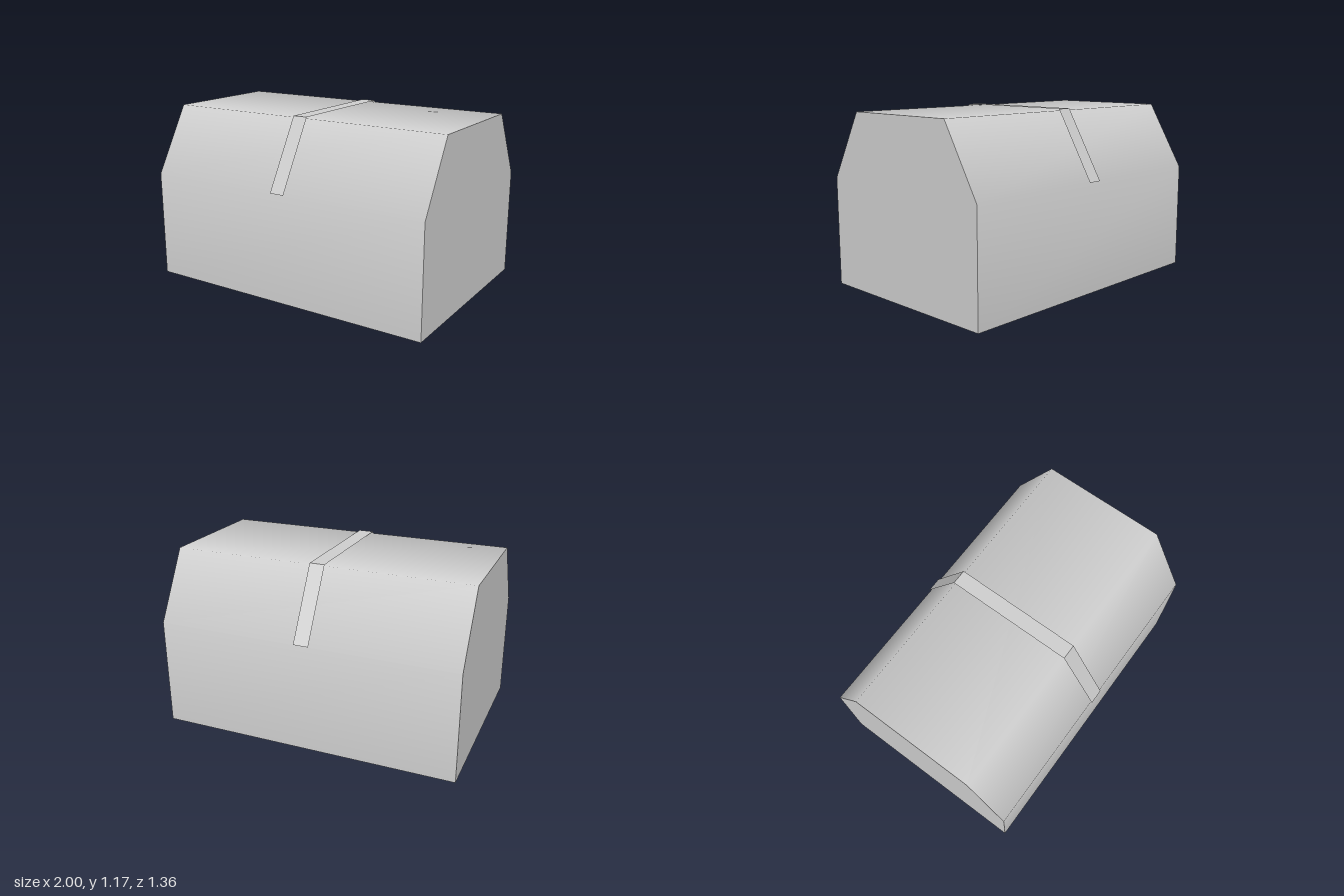
import * as THREE from 'three';

// Cross-section as [z, y], from the front foot over the roof to the back foot
const PROFILE = [[0.67, 0], [0.67, 0.717], [0.415, 1.157], [-0.415, 1.157], [-0.67, 0.717], [-0.67, 0]];
// Folded band lying just above the roof
const BAND = [[0.679, 0.722], [0.421, 1.167], [-0.421, 1.167], [-0.679, 0.722]];

// Sweep a [z, y] path along x; smooth blends the normals across the folds
function sweep(path, halfWidth, smooth) {
  const faceNormals = path.slice(1).map(([z, y], i) =>
    new THREE.Vector3(0, path[i][0] - z, y - path[i][1]).normalize());
  const positions = [], normals = [], index = [];
  faceNormals.forEach((face, i) => {
    for (const k of [i, i + 1]) {
      const n = face.clone();
      if (smooth) {
        n.set(0, 0, 0);
        for (const f of [faceNormals[k - 1], faceNormals[k]]) if (f) n.add(f);
        n.normalize();
      }
      for (const x of [-halfWidth, halfWidth]) {
        positions.push(x, path[k][1], path[k][0]);
        normals.push(n.x, n.y, n.z);
      }
    }
    const o = i * 4;
    index.push(o, o + 1, o + 3, o, o + 3, o + 2);
  });
  const geometry = new THREE.BufferGeometry();
  geometry.setAttribute('position', new THREE.Float32BufferAttribute(positions, 3));
  geometry.setAttribute('normal', new THREE.Float32BufferAttribute(normals, 3));
  geometry.setIndex(index);
  return geometry;
}

export function createModel() {
  const model = new THREE.Group();
  const grey = new THREE.MeshStandardMaterial({ color: 0xcccccc, side: THREE.DoubleSide });
  grey.name = 'light grey';

  const add = (name, geometry) => {
    const mesh = new THREE.Mesh(geometry, grey);
    mesh.name = name;
    model.add(mesh);
    return mesh;
  };

  // Walls and roof, softly shaded across the folds
  add('shell', sweep(PROFILE, 1, true));

  // Flat underside
  add('floor', sweep([PROFILE[5], PROFILE[0]], 1, false));

  // Flat ends
  const outline = new THREE.Shape(PROFILE.map(([z, y]) => new THREE.Vector2(z, y)));
  for (const side of [1, -1]) {
    const end = add(side > 0 ? 'leftEnd' : 'rightEnd', new THREE.ShapeGeometry(outline));
    end.rotation.y = side * Math.PI / 2;
    end.position.x = side;
  }

  // Narrow band folded over the middle of the roof
  add('roofBand', sweep(BAND, 0.05, false));

  return model;
}
